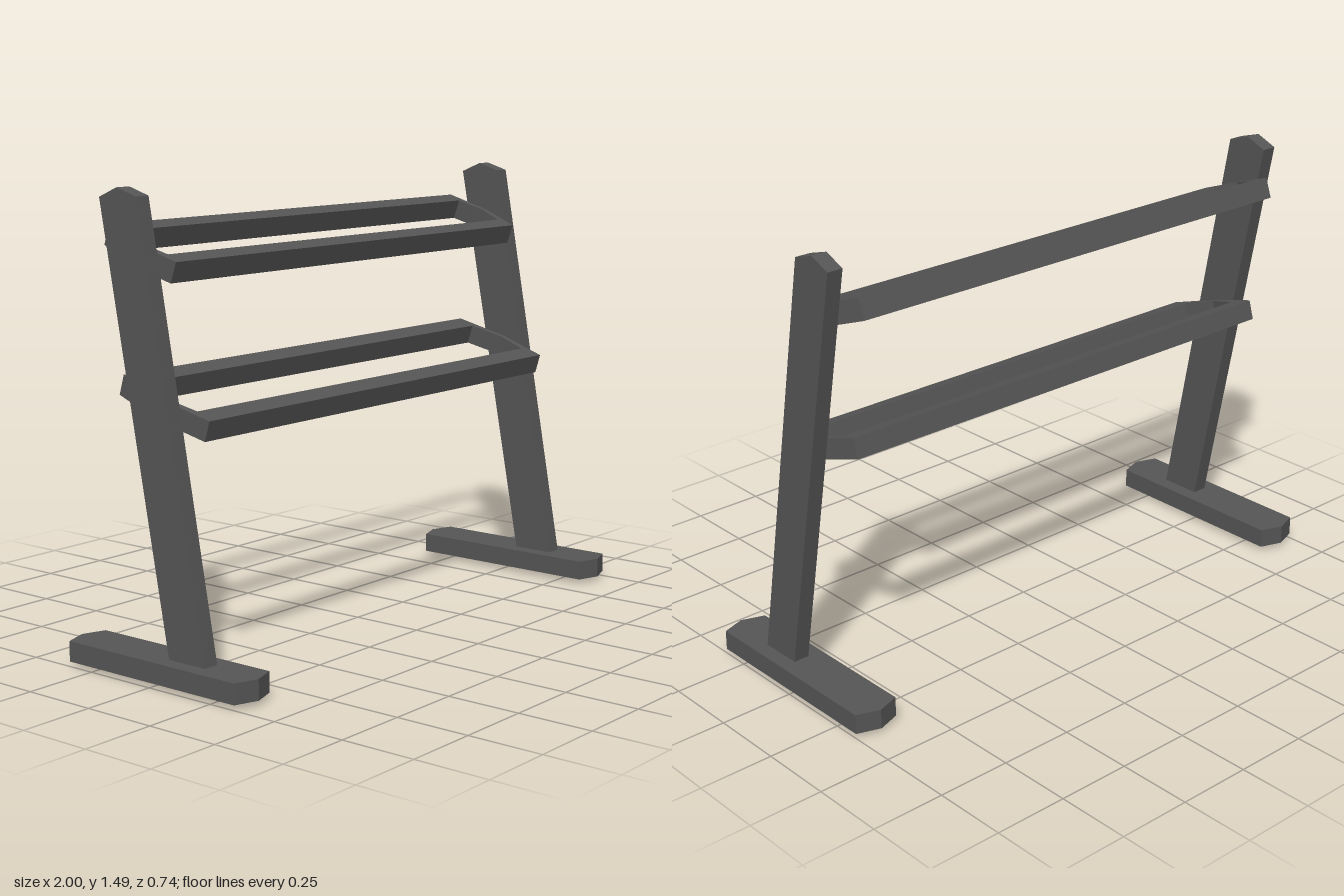
import * as THREE from 'three';

const outline = (pts) => pts.map(([x, y]) => new THREE.Vector2(x, y));
const extrude = (shape, depth) => new THREE.ExtrudeGeometry(shape, { depth, bevelEnabled: false });

// Foot: shallow block with pointed ends, hollow underneath
function footGeometry() {
  const w = 0.078, corner = 0.345, tip = 0.372;
  const shape = new THREE.Shape(outline([[-w, -corner], [0, -tip], [w, -corner], [w, corner], [0, tip], [-w, corner]]));
  const geo = extrude(shape, 0.066);
  // The first four triangles are the underside cap
  const open = new THREE.BufferGeometry();
  open.setAttribute('position', new THREE.BufferAttribute(geo.attributes.position.array.slice(4 * 9), 3));
  open.computeVertexNormals();
  return open.rotateX(-Math.PI / 2);
}

// Post: backward-leaning plank with a peaked top, drawn as (z, y)
function postGeometry() {
  const shape = new THREE.Shape(outline([[0.192, 0.03], [0.051, 0], [-0.224, 1.461], [-0.15, 1.492], [-0.071, 1.468]]));
  return extrude(shape, 0.054).rotateY(-Math.PI / 2).translate(0.027, 0, 0);
}

// Shelf frame: long six-sided ring with shallow pointed ends
function shelfGeometry(depth, bar, thickness) {
  const ring = (corner, tip, d) => outline([[-corner, -d], [corner, -d], [tip, 0], [corner, d], [-corner, d], [-tip, 0]]);
  const shape = new THREE.Shape(ring(0.872, 0.898, depth / 2));
  shape.holes.push(new THREE.Path(ring(0.852, 0.878, depth / 2 - bar)));
  return extrude(shape, thickness).translate(0, 0, -thickness).rotateX(-Math.PI / 2);
}

export function createModel() {
  const model = new THREE.Group();
  model.name = 'rack';
  const darkGrey = new THREE.MeshStandardMaterial({ color: 0x555555, side: THREE.DoubleSide });
  darkGrey.name = 'darkGrey';

  const add = (name, geometry, x, y, z, tilt = 0) => {
    const mesh = new THREE.Mesh(geometry, darkGrey);
    mesh.name = name;
    mesh.position.set(x, y, z);
    mesh.rotation.x = tilt;
    model.add(mesh);
  };

  // Mirrored feet and posts
  const foot = footGeometry();
  const post = postGeometry();
  for (const [side, s] of [['left', 1], ['right', -1]]) {
    add(side + 'Foot', foot, s * 0.922, 0.016, 0);
    add(side + 'Post', post, s * 0.922, 0, 0);
  }

  // Tilted shelf frames, higher at the back
  add('upperShelf', shelfGeometry(0.294, 0.055, 0.069), -0.006, 1.325, -0.118, 0.343);
  add('lowerShelf', shelfGeometry(0.369, 0.07, 0.067), -0.006, 0.866, -0.03, 0.288);

  return model;
}
